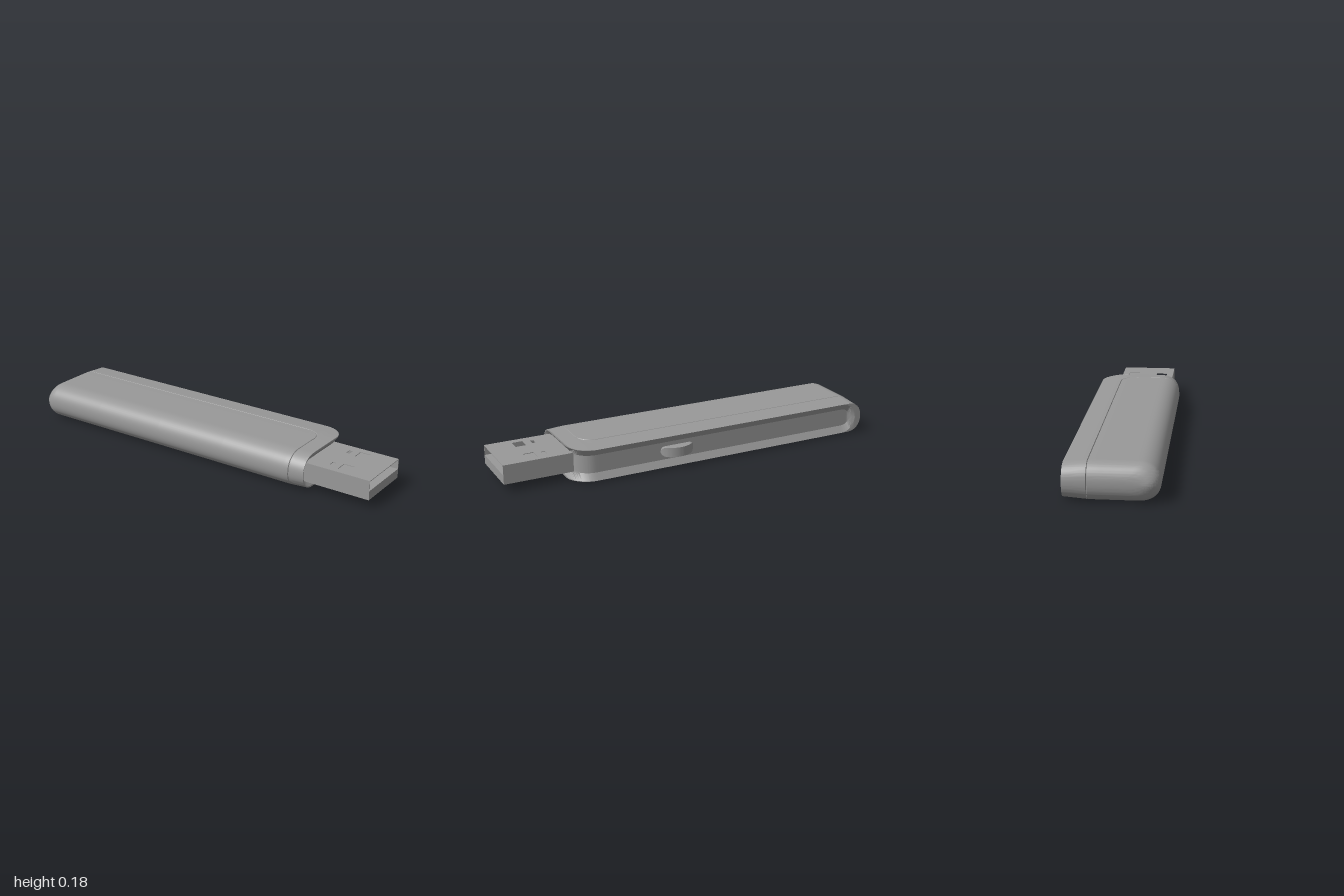
import * as THREE from 'three';
import { toCreasedNormals } from 'three/addons/utils/BufferGeometryUtils.js';

const MID = 0.091; // height of the horizontal mirror plane
const MOUTH = 0.648; // depth of the front recess
const material = new THREE.MeshStandardMaterial({ color: 0x999999 });

function addMesh(parent, geometry, name, x = 0, y = 0, z = 0) {
  const mesh = new THREE.Mesh(geometry, material);
  mesh.name = name;
  mesh.position.set(x, y, z);
  parent.add(mesh);
  return mesh;
}

// Joins counter-clockwise loops, given in order of rising z (a point may add its own z shift)
function loft(sections, capFront, crease) {
  const positions = [];
  const n = sections[0].points.length;
  const at = (s, j) => {
    const [x, y, shift = 0] = s.points[j % n];
    return new THREE.Vector3(x, y, s.z + shift);
  };
  const tri = (a, b, c) => {
    const area = b.clone().sub(a).cross(c.clone().sub(a)).length();
    if (area > 1e-9) for (const p of [a, b, c]) positions.push(p.x, p.y, p.z);
  };
  for (let i = 0; i + 1 < sections.length; i++) {
    for (let j = 0; j < n; j++) {
      const a = at(sections[i], j), b = at(sections[i], j + 1);
      const c = at(sections[i + 1], j + 1), d = at(sections[i + 1], j);
      tri(a, b, c);
      tri(a, c, d);
    }
  }
  if (capFront) {
    const last = sections[sections.length - 1];
    const contour = last.points.map(([x, y]) => new THREE.Vector2(x, y));
    for (const [a, b, c] of THREE.ShapeUtils.triangulateShape(contour, [])) {
      tri(at(last, a), at(last, b), at(last, c));
    }
  }
  const g = new THREE.BufferGeometry();
  g.setAttribute('position', new THREE.Float32BufferAttribute(positions, 3));
  return toCreasedNormals(g, crease);
}

// Quarter of a superellipse: 1 at t = 0, falling to 0 at t = 1
const fall = (t, n = 2.2) => Math.pow(1 - Math.pow(Math.min(Math.max(t, 0), 1), n), 1 / n);
const ramp = (z, a, b) => Math.min(Math.max((z - a) / (b - a), 0), 1);

// Body cross-section at z; inFront makes the hollow mouth instead of the channel floor
function bodySection(z, inFront = false) {
  const scale = fall((-z - 0.92) / 0.08) * (1 - 0.03 * ramp(z, 0.6, 0.67));
  const left = -0.232 + 0.07 * (1 - fall((-z - 0.93) / 0.07, 2)) + 0.008 * ramp(z, 0.57, 0.67);
  const right = 0.085 + 0.12 * fall((z - 0.55) / 0.12, 2);
  const grooveX = 0.015 + 0.08 * fall((z - 0.51) / 0.08, 2);
  const grooveW = 0.0025 + 0.007 * ramp(z, 0.55, 0.59);
  const ringGroove = Math.abs(z - 0.59) < 0.001;
  const arcX = left + 0.1;
  const topY = (x) => (0.091 - 0.01 * Math.max(0, (x - 0.09) / 0.115)) * scale;

  // Upper outline from the right edge to the middle of the left side
  const upper = [];
  const flat = (x, dip) => upper.push([x, topY(x) * (dip ? 0.955 : 1)]);
  for (let i = 0; i < 4; i++) flat(THREE.MathUtils.lerp(right, grooveX + grooveW, i / 3), false);
  upper.push([grooveX, topY(grooveX) * (z < 0.592 ? 0.955 : 1), 0.004 * ramp(-z, 0.92, 1)]);
  for (let i = 0; i < 4; i++) flat(THREE.MathUtils.lerp(grooveX - grooveW, arcX, i / 4), ringGroove);
  for (let i = 0; i <= 14; i++) {
    const a = (i / 14) * Math.PI / 2, k = ringGroove ? 0.955 : 1;
    upper.push([arcX - 0.1 * k * Math.pow(Math.sin(a), 0.91),
      0.091 * scale * k * Math.pow(Math.max(Math.cos(a), 0), 0.91)]);
  }
  const lower = upper.slice(0, -1).reverse().map(([x, y, shift]) => [x, -y, shift]);

  // Side channel lips, then either its floor or the flared mouth
  const lip = Math.min(0.081 * fall((-z - 0.88) / 0.085, 2), upper[0][1]);
  const floorY = 0.046 * fall((-z - 0.89) / 0.05, 2);
  const floorX = 0.085 + 0.098 * fall((z - 0.55) / 0.098, 2) + 0.022 * ramp(-z, 0.93, 0.965);
  const inner = [];
  const N = 24;
  const f = ramp(z, MOUTH, 0.67);
  const mouthY = 0.05 + 0.029 * f, mouthX = left + 0.004 + 0.036 * (1 - f);
  const power = 0.4 + 0.45 * f;
  for (let i = 0; i <= N; i++) {
    if (!inFront) {
      inner.push([floorX, floorY * (2 * i / N - 1)]);
    } else if (i === 0 || i === N) {
      inner.push([0.083, i ? mouthY : -mouthY]);
    } else {
      const a = ((i - 1) / (N - 2) - 0.5) * Math.PI;
      inner.push([mouthX + 0.09 - 0.09 * Math.pow(Math.max(Math.cos(a), 0), power),
        Math.sign(a) * mouthY * Math.pow(Math.abs(Math.sin(a)), power)]);
    }
  }
  const points = [...upper, ...lower, [right, -lip], ...inner, [right, lip]];
  return { z, points: points.map(([x, y, shift]) => [x, y + MID, shift]) };
}

function buildBody() {
  const sections = [];
  for (let i = 0; i <= 28; i++) sections.push(bodySection(-0.88 - 0.12 * Math.cos((i / 28) * Math.PI / 2)));
  for (const z of [-0.6, -0.2, 0.2, 0.5]) sections.push(bodySection(z));
  for (let i = 0; i <= 10; i++) sections.push(bodySection(0.51 + 0.0775 * Math.sin((i / 10) * Math.PI / 2)));
  for (const z of [0.59, 0.5925, 0.605, 0.615, 0.625, 0.633, 0.64, 0.645, MOUTH]) sections.push(bodySection(z));
  for (const z of [MOUTH, 0.652, 0.656, 0.66, 0.664, 0.667, 0.669, 0.67]) sections.push(bodySection(z, true));
  return loft(sections, true, 0.5);
}

// Thumb slider: a bulging pad with rounded ends
function buildSlider() {
  const sections = [];
  for (let i = 0; i <= 32; i++) {
    const u = -Math.cos((i / 32) * Math.PI);
    const x = 0.1185 + Math.sqrt(0.1125 ** 2 - (0.092 * u) ** 2);
    const h = 0.025 * fall((Math.abs(u) - 0.73) / 0.27, 2);
    sections.push({ z: 0.11 + 0.092 * u,
      points: [[x, MID - h], [x, MID + h], [0.165, MID + h], [0.165, MID - h]] });
  }
  return loft(sections, false, 0.5);
}

function rectangle(path, x, z, w, d) {
  path.moveTo(x - w / 2, z - d / 2);
  path.lineTo(x + w / 2, z - d / 2);
  path.lineTo(x + w / 2, z + d / 2);
  path.lineTo(x - w / 2, z + d / 2);
  path.closePath();
  return path;
}

function buildConnector() {
  const group = new THREE.Group();
  group.name = 'connector';
  const cx = -0.031, w = 0.296, wall = 0.003, bottom = 0.043, middle = 0.09, top = 0.142;
  const z0 = 0.62, z1 = 1, zc = (z0 + z1) / 2, len = z1 - z0;

  // Top plate with two latch windows and two small slots
  const plate = rectangle(new THREE.Shape(), cx, zc, w, len);
  for (const side of [-1, 1]) {
    plate.holes.push(rectangle(new THREE.Path(), cx + side * 0.082, 0.84, 0.06, 0.055));
    plate.holes.push(rectangle(new THREE.Path(), cx + side * 0.082, 0.768, 0.034, 0.018));
  }
  const plateGeometry = new THREE.ExtrudeGeometry(plate, { depth: wall, bevelEnabled: false });
  plateGeometry.rotateX(Math.PI / 2);
  addMesh(group, plateGeometry, 'connectorTop', 0, top, 0);
  addMesh(group, new THREE.BoxGeometry(0.064, 0.002, 0.059), 'latchTab', cx + 0.082, top - wall - 0.001, 0.84);

  // Thin side walls above the solid contact block
  for (const side of [-1, 1]) {
    addMesh(group, new THREE.BoxGeometry(wall, top - wall - middle, len), 'connectorSide',
      cx + side * (w - wall) / 2, (top - wall + middle) / 2, zc);
  }
  addMesh(group, new THREE.BoxGeometry(w, middle - bottom, len), 'contactBlock', cx, (middle + bottom) / 2, zc);
  return group;
}

export function createModel() {
  const model = new THREE.Group();
  model.name = 'flashDrive';
  addMesh(model, buildBody(), 'body');
  addMesh(model, buildSlider(), 'slider');
  model.add(buildConnector());
  return model;
}
